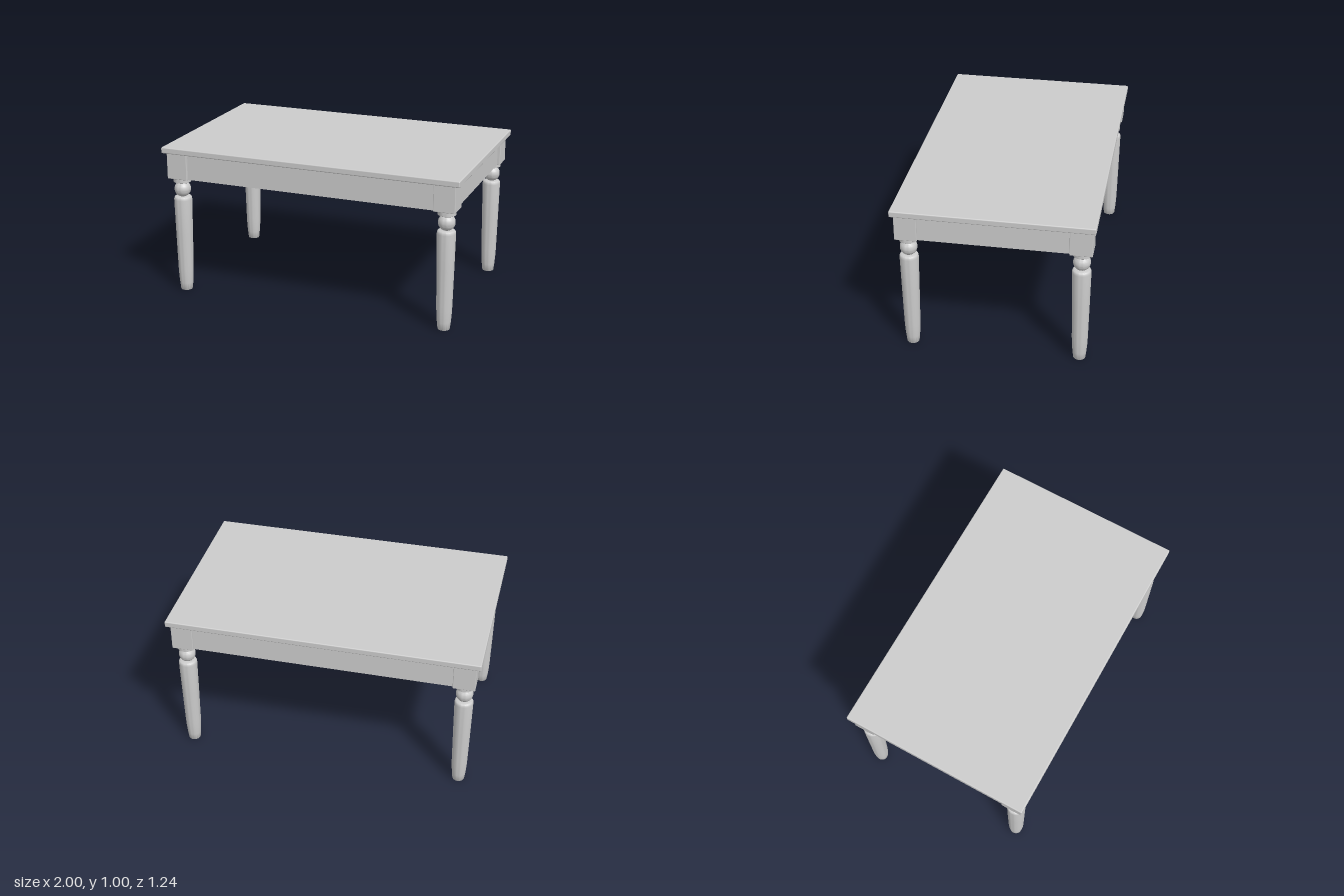
import * as THREE from 'three';
import { RoundedBoxGeometry } from 'three/addons/geometries/RoundedBoxGeometry.js';
import { toCreasedNormals } from 'three/addons/utils/BufferGeometryUtils.js';

const material = new THREE.MeshStandardMaterial({ color: 0xcccccc });

function addMesh(parent, name, geometry, x, y, z) {
  const mesh = new THREE.Mesh(geometry, material);
  mesh.name = name;
  mesh.position.set(x, y, z);
  parent.add(mesh);
}

// Turned leg: tapered shaft, rounded shoulder, ball and collar
function legGeometry() {
  const points = [
    [0, 0], [0.037, 0], [0.039, 0.003], [0.044, 0.05], [0.048, 0.1], [0.05, 0.15],
    [0.055, 0.4], [0.059, 0.635], [0.058, 0.646], [0.054, 0.654], [0.046, 0.658], [0.03, 0.658],
  ].map(([r, y]) => new THREE.Vector2(r, y));
  const ballRadius = 0.054, ballY = 0.707;
  for (let i = 0; i <= 14; i++) {
    const a = THREE.MathUtils.lerp(-1.1, 1.1, i / 14);
    points.push(new THREE.Vector2(ballRadius * Math.cos(a), ballY + ballRadius * Math.sin(a)));
  }
  for (const [r, y] of [[0.053, 0.755], [0.057, 0.758], [0.057, 0.79], [0, 0.79]]) {
    points.push(new THREE.Vector2(r, y));
  }
  return toCreasedNormals(new THREE.LatheGeometry(points, 40), 0.7);
}

export function createModel() {
  const table = new THREE.Group();
  table.name = 'table';

  // Top board with softened edges
  addMesh(table, 'tableTop', new RoundedBoxGeometry(2, 0.04, 1.244, 3, 0.007), 0, 0.98, 0);

  // Apron body, set back from the corner blocks
  addMesh(table, 'apron', new THREE.BoxGeometry(1.904, 0.175, 1.168), 0, 0.8755, 0);

  // Four corner blocks, each with a turned leg below
  const block = new RoundedBoxGeometry(0.14, 0.176, 0.14, 2, 0.004);
  const leg = legGeometry();
  for (const [side, x] of [['left', 0.901], ['right', -0.901]]) {
    for (const [end, z] of [['Front', 0.533], ['Back', -0.533]]) {
      const corner = new THREE.Group();
      corner.name = `${side}${end}Leg`;
      corner.position.set(x, 0, z);
      addMesh(corner, 'cornerBlock', block, 0, 0.875, 0);
      addMesh(corner, 'turnedLeg', leg, 0, 0, 0);
      table.add(corner);
    }
  }
  return table;
}
